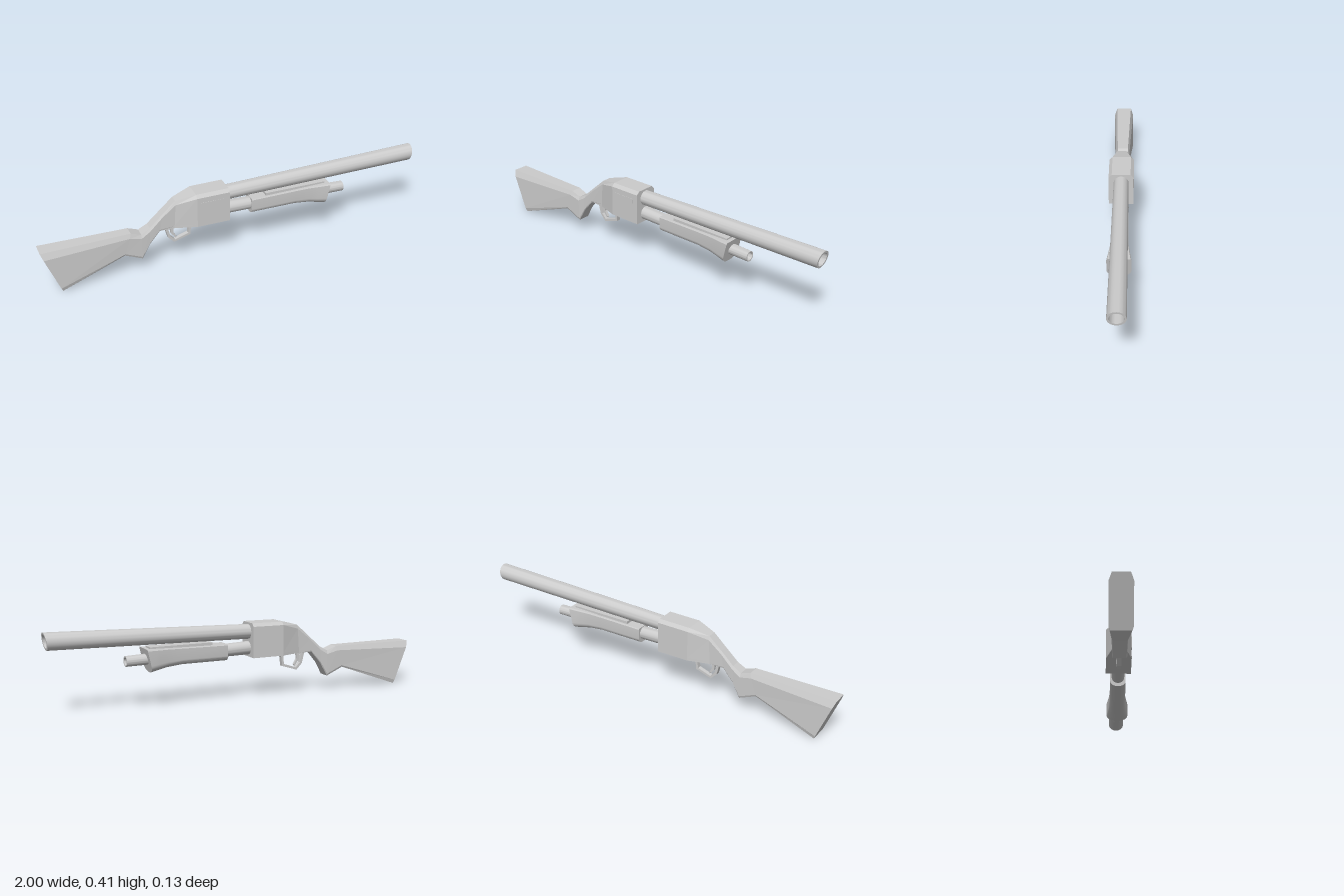
import * as THREE from 'three';
import { toCreasedNormals } from 'three/addons/utils/BufferGeometryUtils.js';

const grey = new THREE.MeshStandardMaterial({ color: 0xcccccc });
const flat = new THREE.MeshStandardMaterial({ color: 0xcccccc, flatShading: true });
const open = new THREE.MeshStandardMaterial({ color: 0xcccccc, side: THREE.DoubleSide });

function part(group, name, geometry, material = grey) {
  const mesh = new THREE.Mesh(geometry, material);
  mesh.name = name;
  group.add(mesh);
  return mesh;
}

// Skin a row of convex rings (ordered along +x) and cap both ends
function loft(rings) {
  const pos = [];
  const tri = (...pts) => pts.forEach((p) => pos.push(...p));
  const n = rings[0].length;
  for (let i = 0; i < rings.length - 1; i++) {
    for (let j = 0; j < n; j++) {
      const k = (j + 1) % n;
      const a = rings[i][j], b = rings[i][k], c = rings[i + 1][k], d = rings[i + 1][j];
      tri(a, b, d);
      tri(b, c, d);
    }
  }
  const first = rings[0], last = rings[rings.length - 1];
  for (let j = 1; j < n - 1; j++) {
    tri(first[0], first[j + 1], first[j]);
    tri(last[0], last[j], last[j + 1]);
  }
  const g = new THREE.BufferGeometry();
  g.setAttribute('position', new THREE.Float32BufferAttribute(pos, 3));
  g.computeVertexNormals();
  return g;
}

// Slanted section from a top point to a bottom point; half is a list of [z, t] down the +z side
function section([xt, yt], [xb, yb], half) {
  const at = (z, t) => [xt + (xb - xt) * t, yt + (yb - yt) * t, z];
  const right = half.map(([z, t]) => at(z, t));
  const left = half.map(([z, t]) => at(-z, t)).reverse();
  return [...right, ...left];
}

// Hollow tapered tube along x, with drifting axis and slanted mouth
function hollowTube(x0, y0, r0, x1, y1, r1, bore, slant) {
  const len = x1 - x0;
  const profile = [[r0, 0], [r1, len], [bore, len], [bore * 0.92, 0.005]];
  const g = new THREE.LatheGeometry(profile.map(([r, l]) => new THREE.Vector2(r, l)), 32);
  g.rotateZ(-Math.PI / 2);
  const p = g.attributes.position;
  for (let i = 0; i < p.count; i++) {
    const x = p.getX(i), y = p.getY(i), t = x / len;
    p.setXYZ(i, x0 + x + slant * (y - r1) * t, y0 + (y1 - y0) * t + y, p.getZ(i));
  }
  return toCreasedNormals(g, 0.7);
}

// Flat plate of a given width, cut from an outline in the xy plane
function plate(points, width) {
  const shape = new THREE.Shape(points.map(([x, y]) => new THREE.Vector2(x, y)));
  const g = new THREE.ExtrudeGeometry(shape, { depth: width, bevelEnabled: false });
  return g.translate(0, 0, -width / 2);
}

export function createModel() {
  const model = new THREE.Group();
  model.name = 'pumpShotgun';

  // Stock, grip and receiver: [top, bottom, half width, top bevel, bottom half width]
  const body = [
    [[-1, 0.232], [-0.91, 0.005], 0.053, 0.15, 0.047],
    [[-0.553, 0.234], [-0.59, 0.12], 0.037, 0.2, 0.033],
    [[-0.5, 0.215], [-0.5, 0.08], 0.035, 0.14, 0.031],
    [[-0.455, 0.24], [-0.46, 0.15], 0.032, 0.18, 0.028],
    [[-0.39, 0.3], [-0.405, 0.215], 0.03, 0.18, 0.028],
    [[-0.32, 0.362], [-0.33, 0.215], 0.031, 0.13, 0.031],
    [[-0.22, 0.388], [-0.22, 0.215], 0.063, 0.09, 0.063],
    [[-0.05, 0.39], [-0.05, 0.215], 0.063, 0.09, 0.063],
  ];
  part(model, 'stockAndReceiver', loft(body.map(([top, bottom, w, bevel, wb]) =>
    section(top, bottom, [[w * 0.75, 0], [w, bevel], [w, 0.92], [wb, 1]]))), flat);

  // Ejection port cover on the front side of the receiver
  const port = part(model, 'ejectionPort', new THREE.BoxGeometry(0.125, 0.062, 0.004));
  port.position.set(-0.14, 0.315, 0.0625);

  // Barrel and magazine tube
  part(model, 'barrel', hollowTube(-0.06, 0.343, 0.0375, 1, 0.368, 0.043, 0.033, 0.17), open);
  part(model, 'magazineTube', hollowTube(-0.06, 0.26, 0.034, 0.605, 0.243, 0.026, 0.02, 0), open);

  // Pump fore-end: straight sides, rounded belly, flared towards the front
  const pump = [
    [[0.08, 0.292], [0.08, 0.207], 0.04],
    [[0.32, 0.295], [0.32, 0.207], 0.041],
    [[0.4, 0.297], [0.4, 0.199], 0.044],
    [[0.45, 0.298], [0.44, 0.19], 0.05],
    [[0.512, 0.3], [0.485, 0.181], 0.058],
  ];
  part(model, 'pumpForeEnd', toCreasedNormals(loft(pump.map(([top, bottom, w]) => {
    const half = [[w * 0.92, 0], [w, 0.06]];
    for (let i = 0; i <= 6; i++) {
      const a = (i / 6) * Math.PI / 2;
      half.push([w * (0.12 + 0.88 * Math.cos(a)), 0.68 + 0.32 * Math.sin(a)]);
    }
    return section(top, bottom, half);
  })), 0.5));
  const rail = part(model, 'pumpTopRail', new THREE.BoxGeometry(0.33, 0.014, 0.06));
  rail.position.set(0.325, 0.3, 0);

  // Trigger guard loop and trigger
  part(model, 'triggerGuard', plate([
    [-0.375, 0.22], [-0.358, 0.155], [-0.327, 0.123], [-0.242, 0.15], [-0.237, 0.197], [-0.218, 0.22],
    [-0.262, 0.22], [-0.248, 0.197], [-0.253, 0.159], [-0.323, 0.136], [-0.347, 0.161], [-0.361, 0.22],
  ], 0.022));
  part(model, 'trigger', plate([
    [-0.347, 0.22], [-0.342, 0.175], [-0.318, 0.145], [-0.313, 0.15], [-0.33, 0.18], [-0.328, 0.22],
  ], 0.014));

  return model;
}
